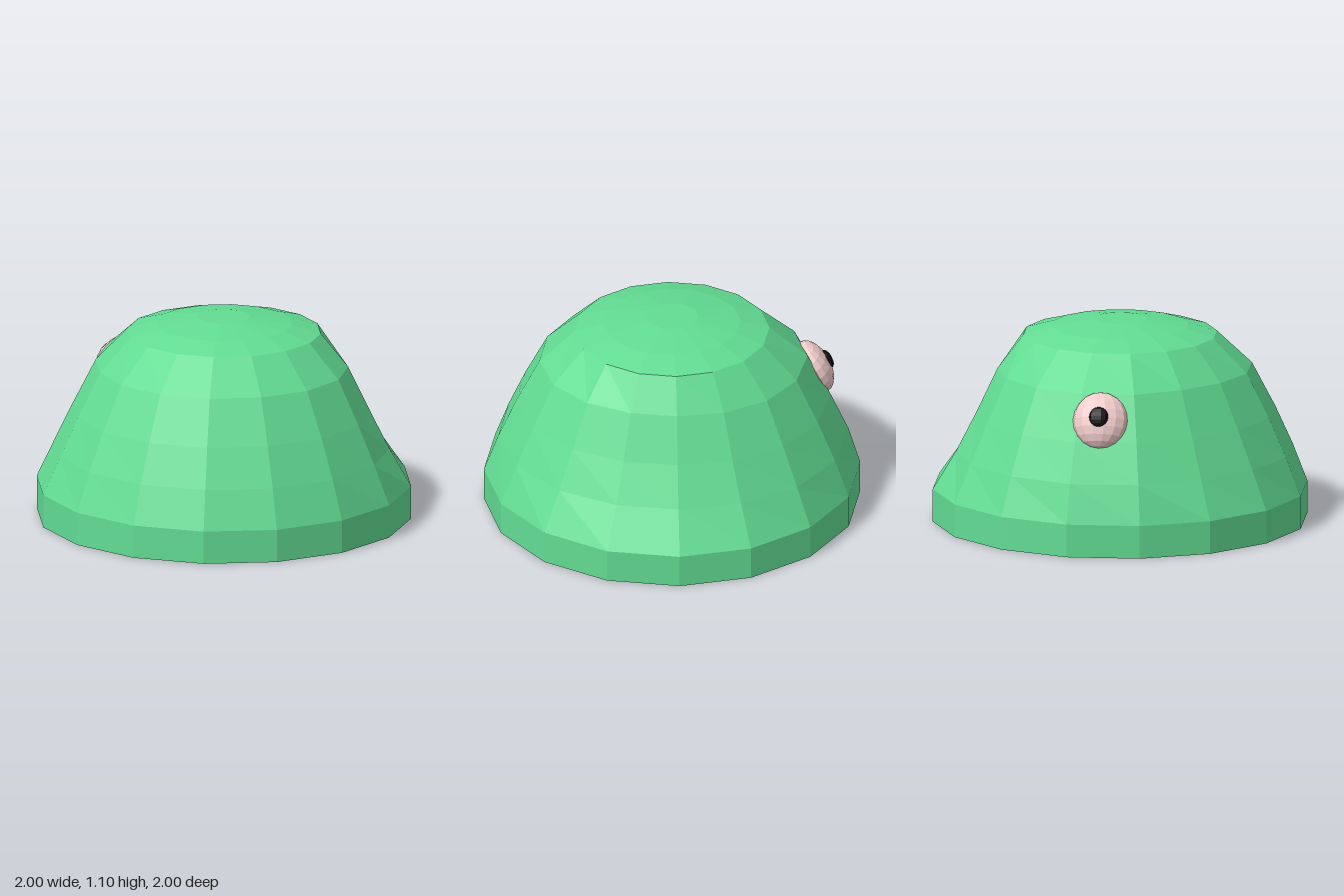
import * as THREE from 'three';

const SIDES = 16;
const START = THREE.MathUtils.degToRad(12.4);

const mat = (color) => new THREE.MeshStandardMaterial({ color, flatShading: true });

// Smooth bump: 1 at the centre angle, fading to 0 at +-width (degrees)
function bump(angle, centre, width) {
  const d = Math.abs(((angle - centre + 540) % 360) - 180);
  return d < width ? 0.5 + 0.5 * Math.cos((d / width) * Math.PI) : 0;
}

// Faceted mound whose middle rings are pressed in on one side
function makeBody() {
  // radius, height, dent depth
  const rings = [
    [0, 0, 0], [1.015, 0, 0], [1.015, 0.18, 0],
    [0.935, 0.39, 0.07], [0.84, 0.6, 0.09], [0.715, 0.84, 0.075],
    [0.525, 1.02, 0], [0.37, 1.065, 0], [0.143, 1.1, 0], [0, 1.1, 0],
  ];
  const geo = new THREE.LatheGeometry(
    rings.map(([r, y]) => new THREE.Vector2(r, y)), SIDES, START);
  const pos = geo.attributes.position;
  for (let i = 0; i < pos.count; i++) {
    const [r, , depth] = rings[i % rings.length];
    if (!depth) continue;
    const x = pos.getX(i), z = pos.getZ(i);
    const angle = (THREE.MathUtils.radToDeg(Math.atan2(x, z)) + 360) % 360;
    const dent = depth * (bump(angle, 72, 80) + 0.3 * bump(angle, 225, 45))
      - 0.02 * bump(angle, 180, 35);
    const s = (r - dent) / r;
    pos.setX(i, x * s);
    pos.setZ(i, z * s);
  }
  geo.computeVertexNormals();
  const body = new THREE.Mesh(geo, mat(0x62dc93));
  body.name = 'body';
  return body;
}

// Flattened eyeball with a raised pupil; local +z points out of the body
function makeEye() {
  const eye = new THREE.Group();
  eye.name = 'eye';
  const ball = new THREE.Mesh(new THREE.SphereGeometry(1, 14, 10), mat(0xf0caca));
  ball.scale.set(0.148, 0.155, 0.09);
  ball.name = 'eyeball';
  const pupil = new THREE.Mesh(new THREE.SphereGeometry(1, 10, 8), mat(0x111111));
  pupil.scale.set(0.052, 0.055, 0.025);
  pupil.position.set(0, 0, 0.083);
  pupil.name = 'pupil';
  eye.add(ball, pupil);
  eye.position.set(0.02, 0.71, -0.78);
  eye.lookAt(0.02, 0.71 + 0.45, -0.78 - 0.9);
  return eye;
}

export function createModel() {
  const model = new THREE.Group();
  model.name = 'moundCreature';
  model.add(makeBody(), makeEye());
  return model;
}
